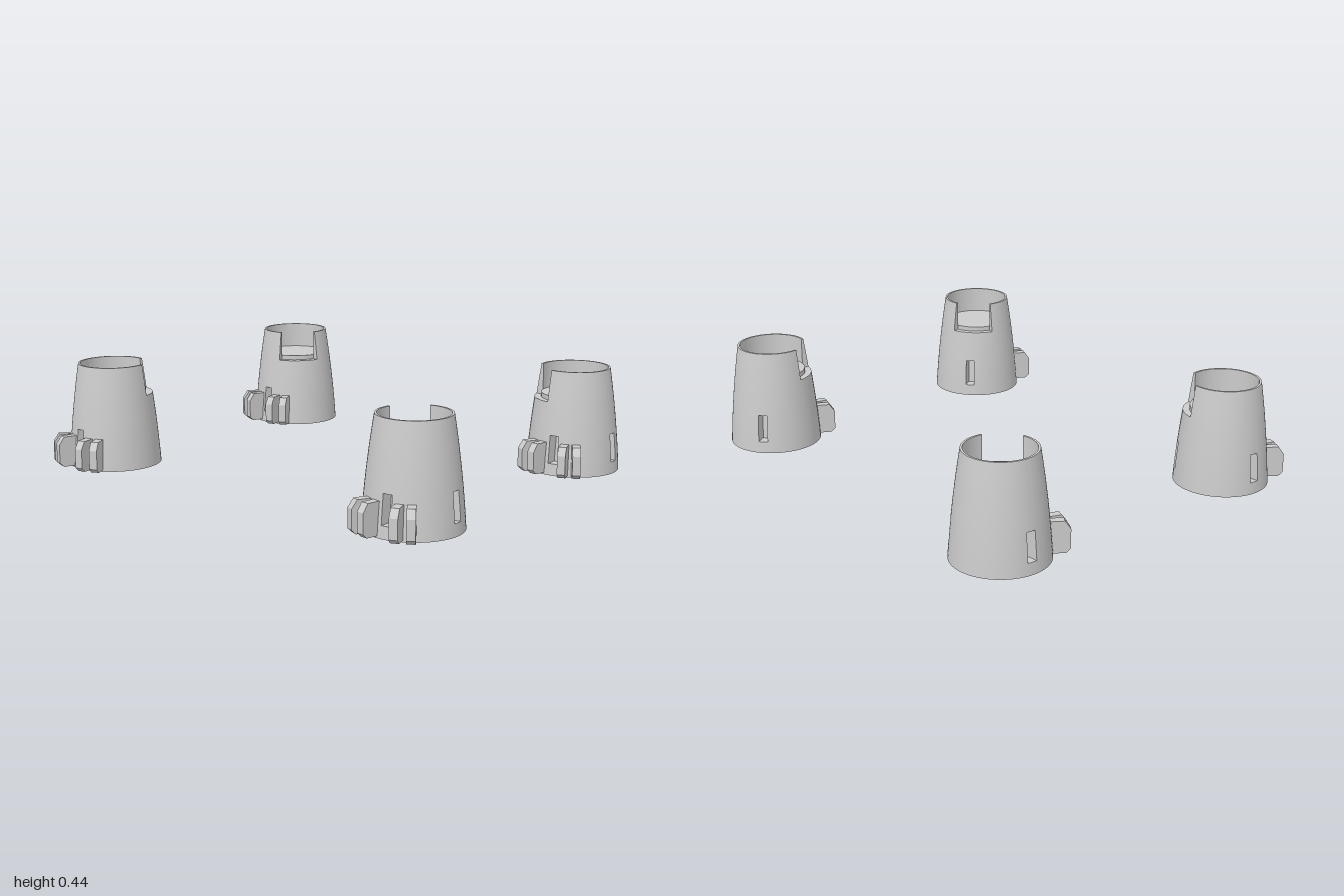
import * as THREE from 'three';
import { toCreasedNormals } from 'three/addons/utils/BufferGeometryUtils.js';

const DEG = Math.PI / 180;
const INNER = 0.139, FLOOR = 0.325, SILL = 0.305, HEIGHT = 0.437;
const NOTCH_HALF = 33, SLOT_HALF = 6, SLOT_DEPTH = 0.05;
const SLOT_BOTTOM = 0.05, SLOT_TOP = 0.168;
const ROWS = [0, SLOT_BOTTOM, 0.11, SLOT_TOP, 0.23, SILL, FLOOR, 0.38, HEIGHT];

// Slightly bulging taper of the outer wall
const outer = y => 0.197 - 0.028 * (y / HEIGHT) - 0.021 * (y / HEIGHT) ** 2;
const wrap = a => ((a % 360) + 360) % 360;
const apart = (a, b) => Math.abs(wrap(a - b + 180) - 180);

// Wall with slots and a rim notch, laid out as cells in angle and height
function wallGeometry(slots, notch) {
  const edges = [notch - NOTCH_HALF, notch + NOTCH_HALF];
  for (const s of slots) edges.push(s - SLOT_HALF, s + SLOT_HALF);
  const angles = edges.map(wrap);
  for (let a = 0; a < 360; a += 5) {
    if (edges.every(e => apart(e, a) > 0.5)) angles.push(a);
  }
  angles.sort((a, b) => a - b);

  const inNotch = (a, j) => ROWS[j] >= SILL && apart(a, notch) < NOTCH_HALF;
  const inSlot = (a, j) => ROWS[j] >= SLOT_BOTTOM && ROWS[j] < SLOT_TOP &&
    slots.some(s => apart(a, s) < SLOT_HALF);
  const radius = (a, j, y) => {
    if (j >= ROWS.length - 1 || inNotch(a, j)) return INNER;
    return outer(y) - (inSlot(a, j) ? SLOT_DEPTH : 0);
  };

  const pos = [];
  const point = (a, r, y) => [r * Math.sin(a * DEG), y, r * Math.cos(a * DEG)];
  const quad = (a, b, c, d) => pos.push(...a, ...b, ...c, ...a, ...c, ...d);
  angles.forEach((a0, i) => {
    const a1 = i + 1 < angles.length ? angles[i + 1] : angles[0] + 360;
    const a2 = i + 2 < angles.length ? angles[i + 2] : angles[i + 2 - angles.length] + 360;
    const mid = (a0 + a1) / 2, next = (a1 + a2) / 2;
    for (let j = 0; j < ROWS.length - 1; j++) {
      const y0 = ROWS[j], y1 = ROWS[j + 1];
      const r0 = radius(mid, j, y0), r1 = radius(mid, j, y1);
      const open = inNotch(mid, j) && y0 >= FLOOR;
      // outside
      if (!open) quad(point(a0, r0, y0), point(a1, r0, y0), point(a1, r1, y1), point(a0, r1, y1));
      // inside above the floor
      if (!open && y0 >= FLOOR) {
        quad(point(a1, INNER, y0), point(a0, INNER, y0), point(a0, INNER, y1), point(a1, INNER, y1));
      }
      // upright sides of slots and notch
      const n0 = radius(next, j, y0), n1 = radius(next, j, y1);
      if (Math.abs(n0 - r0) > 1e-5) {
        quad(point(a1, r0, y0), point(a1, n0, y0), point(a1, n1, y1), point(a1, r1, y1));
      }
      // ledges, sill and rim
      const up = radius(mid, j + 1, y1);
      if (Math.abs(up - r1) > 1e-5) {
        quad(point(a0, r1, y1), point(a1, r1, y1), point(a1, up, y1), point(a0, up, y1));
      }
    }
  });
  const g = new THREE.BufferGeometry();
  g.setAttribute('position', new THREE.Float32BufferAttribute(pos, 3));
  return toCreasedNormals(g, 30 * DEG);
}

// Upright fin with chamfered outer corners
function finGeometry() {
  const t = 0.034;
  const profile = [[0.17, 0.008], [0.245, 0.008], [0.263, 0.025], [0.263, 0.105], [0.24, 0.138], [0.17, 0.138]];
  const shape = new THREE.Shape(profile.map(p => new THREE.Vector2(...p)));
  return new THREE.ExtrudeGeometry(shape, { depth: t, bevelEnabled: false }).translate(0, 0, -t / 2);
}

export function createModel() {
  const model = new THREE.Group();
  const material = new THREE.MeshStandardMaterial({ color: 0xcccccc });
  const fin = finGeometry();
  const add = (group, name, geometry) => {
    const mesh = new THREE.Mesh(geometry, material);
    mesh.name = name;
    group.add(mesh);
    return mesh;
  };

  // Four cups, notches facing the middle: name, x, z, notch direction
  const cups = [
    ['backRightCup', -0.773, -0.625, 46],
    ['backLeftCup', 0.8, -0.605, -44],
    ['frontRightCup', -0.8, 0.555, 136],
    ['frontLeftCup', 0.8, 0.555, -136],
  ];
  for (const [name, x, z, notch] of cups) {
    const side = Math.sign(x);
    const cup = new THREE.Group();
    cup.name = name;
    cup.position.set(x, 0, z);
    add(cup, 'wall', wallGeometry([5, 93, -139].map(a => a * side), notch));
    add(cup, 'base', new THREE.CircleGeometry(outer(0), 72).rotateX(Math.PI / 2));
    add(cup, 'innerFloor', new THREE.CircleGeometry(INNER, 72).rotateX(-Math.PI / 2).translate(0, FLOOR, 0));
    for (const a of [34, 20, -11, -26]) {
      add(cup, 'fin', fin).rotation.y = (a * side - 90) * DEG;
    }
    model.add(cup);
  }
  return model;
}
